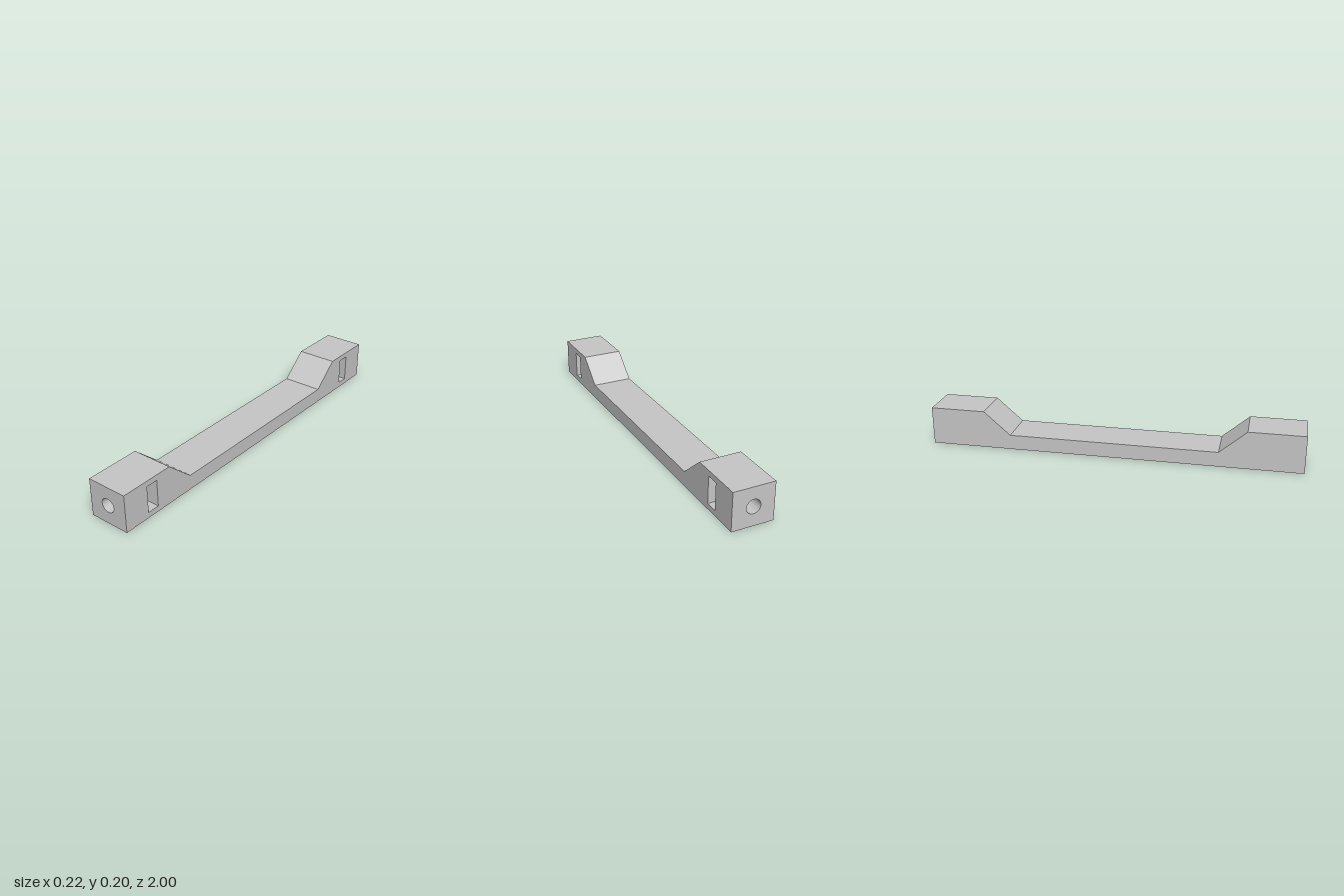
import * as THREE from 'three';
import { toCreasedNormals } from 'three/addons/utils/BufferGeometryUtils.js';

const W = 0.111;      // half width
const H = 0.205;      // block height
const MID = 0.1025;   // height of the bore axis
const SLOT_IN = 0.79, SLOT_OUT = 0.855; // slot limits along z

const shapeFrom = (points) => new THREE.Shape(points.map(([x, y]) => new THREE.Vector2(x, y)));

export function createModel() {
  const group = new THREE.Group();
  const grey = new THREE.MeshStandardMaterial({ color: 0xc6c6c6 });
  grey.name = 'grey';

  const add = (name, geometry) => {
    const mesh = new THREE.Mesh(toCreasedNormals(geometry, 0.5), grey);
    mesh.name = name;
    group.add(mesh);
    return mesh;
  };
  const extrude = (shape, depth) =>
    new THREE.ExtrudeGeometry(shape, { depth, bevelEnabled: false, curveSegments: 32 });

  // Thin bar rising over slopes into the two end blocks: side profile swept across x
  const profile = shapeFrom([
    [-SLOT_IN, 0], [SLOT_IN, 0], [SLOT_IN, H], [0.703, H],
    [0.56, 0.08], [-0.56, 0.08], [-0.703, H], [-SLOT_IN, H],
  ]);
  add('handleBar', extrude(profile, 2 * W).rotateY(-Math.PI / 2).translate(W, 0, 0));

  // Block layer with a side slot that ends in a hexagonal nut seat, open on +x
  const slotLayer = shapeFrom([
    [-W, 0], [W, 0], [W, 0.03], [0, 0.03], [0, 0.04], [-0.036, 0.04],
    [-0.072, MID], [-0.036, 0.165], [0, 0.165], [0, 0.175], [W, 0.175], [W, H], [-W, H],
  ]);

  // Outer block layer with the round bore
  const endLayer = shapeFrom([[-W, 0], [W, 0], [W, H], [-W, H]]);
  const bore = new THREE.Path();
  bore.absarc(0, MID, 0.0375, 0, Math.PI * 2, true);
  endLayer.holes.push(bore);

  const slotDepth = SLOT_OUT - SLOT_IN, endDepth = 1 - SLOT_OUT;
  for (const [side, front] of [['front', true], ['back', false]]) {
    add(side + 'NutSlot', extrude(slotLayer, slotDepth)).position.z = front ? SLOT_IN : -SLOT_OUT;
    add(side + 'BoredEnd', extrude(endLayer, endDepth)).position.z = front ? SLOT_OUT : -1;
  }
  return group;
}
